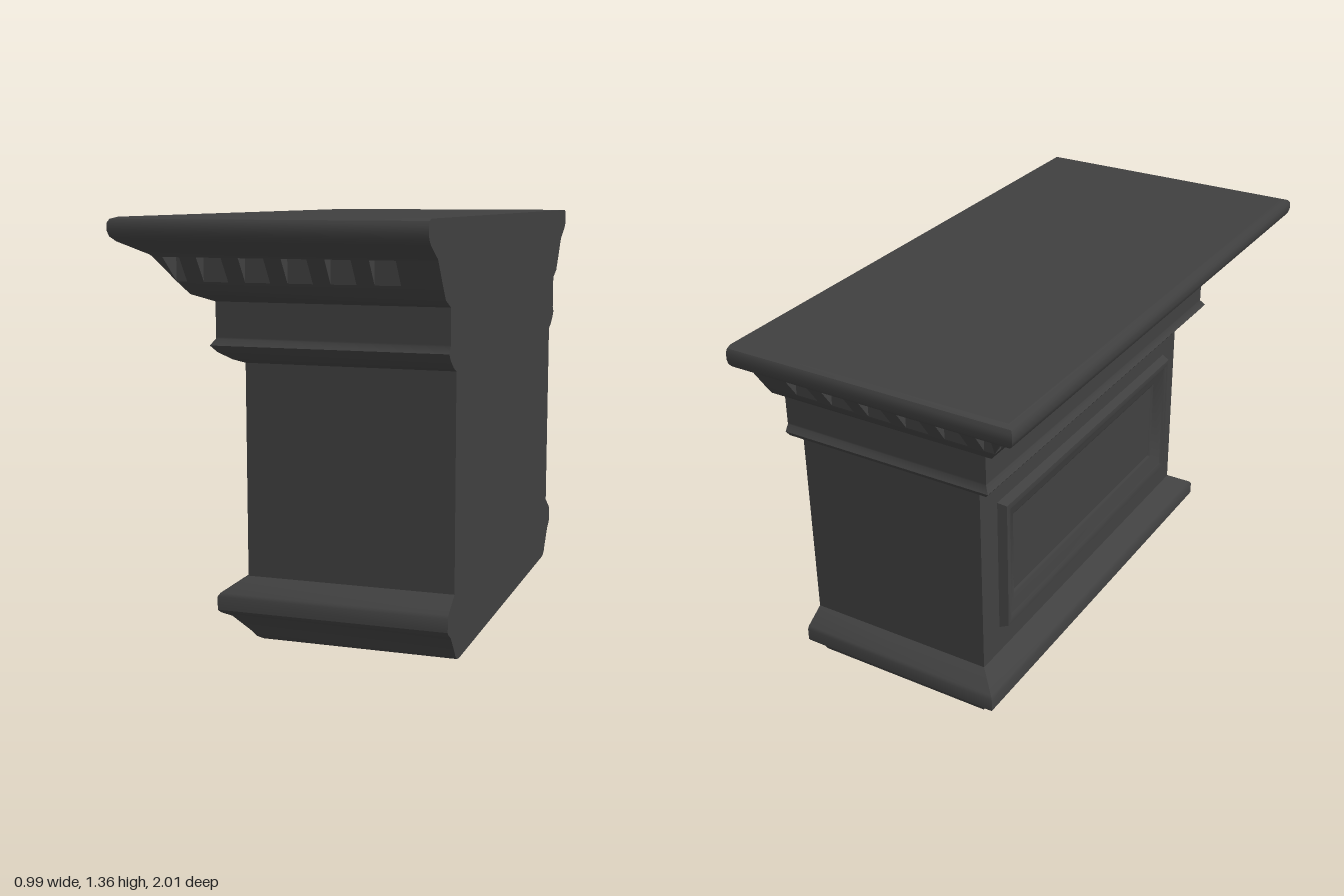
import * as THREE from 'three';
import { toCreasedNormals } from 'three/addons/utils/BufferGeometryUtils.js';

const BACK = 0.49, FACE = -0.19, HALF = 0.7; // cut wall plane, shaft face x, shaft half depth

// Moulding profiles: [outward offset from the shaft, height]
const profiles = {
  base: [[-0.06, 0], [-0.035, 0.005], [-0.018, 0.017], [-0.008, 0.034], [0.04, 0.095], [0.068, 0.113],
    [0.075, 0.122], [0.075, 0.165], [0.068, 0.176], [0, 0.22]],
  shaft: [[0, 0.22], [0, 0.905]],
  neckMoulding: [[0, 0.905], [0.03, 0.918], [0.065, 0.943], [0.083, 0.965], [0.068, 0.985], [0.068, 0.99]],
  frieze: [[0.068, 0.99], [0.068, 1.1]],
  corniceFoot: [[0.068, 1.1], [0.125, 1.125], [0.155, 1.165]],
  corniceTop: [[0.207, 1.24], [0.213, 1.247], [0.285, 1.288], [0.3, 1.303], [0.305, 1.32], [0.305, 1.342],
    [0.298, 1.354], [0.28, 1.36]],
};

// The three moulded sides, walked in one direction around the block
const corner = (o) => FACE - o;
const sides = [
  { at: (u, o, y) => [u, y, HALF + o], start: () => BACK, end: corner },
  { at: (u, o, y) => [FACE - o, y, u], start: (o) => HALF + o, end: (o) => -HALF - o },
  { at: (u, o, y) => [u, y, -HALF - o], start: corner, end: () => BACK },
];

const tri = (out, a, b, c) => out.push(...a, ...b, ...c);
const quad = (out, a, b, c, d) => { tri(out, a, b, c); tri(out, a, c, d); };

export function createModel() {
  const group = new THREE.Group();
  const material = new THREE.MeshStandardMaterial({ color: 0x404040 });
  const add = (name, positions, crease = 0.65) => {
    const geometry = new THREE.BufferGeometry();
    geometry.setAttribute('position', new THREE.Float32BufferAttribute(positions, 3));
    const mesh = new THREE.Mesh(toCreasedNormals(geometry, crease), material);
    mesh.name = name;
    group.add(mesh);
  };

  // Mitred bands around the three sides
  for (const [name, profile] of Object.entries(profiles)) {
    const out = [];
    for (let i = 0; i + 1 < profile.length; i++) {
      const [o0, y0] = profile[i], [o1, y1] = profile[i + 1];
      for (const s of sides) {
        quad(out, s.at(s.start(o0), o0, y0), s.at(s.start(o1), o1, y1),
          s.at(s.end(o1), o1, y1), s.at(s.end(o0), o0, y0));
      }
    }
    add(name, out);
  }

  // Sloping dentil band with wedge-shaped pockets
  const ob = 0.155, yb = 1.165, ot = 0.207, yt = 1.24, inset = 0.02;
  const straight = (u) => [u, u];
  const xPockets = [0.325, 0.19, 0.055, -0.08, -0.215]
    .map((x) => [straight(x + 0.04), straight(x - 0.04)]);
  xPockets.push([straight(-0.31), [corner(ob), corner(ob) - inset]]);
  const zEnd = HALF + ob, zPockets = [];
  for (let i = 0; i < 14; i++) {
    const z = 0.86 - (i * 1.72) / 13;
    zPockets.push([
      i === 0 ? [zEnd, zEnd + inset] : straight(z + 0.04),
      i === 13 ? [-zEnd, -zEnd - inset] : straight(z - 0.04),
    ]);
  }
  const pockets = [xPockets, zPockets, xPockets.map(([a, b]) => [b, a]).reverse()];
  const band = [], recess = [];
  sides.forEach((s, k) => {
    const slope = (a, b) => quad(band, s.at(a[0], ob, yb), s.at(a[1], ot, yt),
      s.at(b[1], ot, yt), s.at(b[0], ob, yb));
    let previous = [s.start(ob), s.start(ot)];
    for (const [a, b] of pockets[k]) {
      slope(previous, a);
      previous = b;
      const [low0, low1] = [a, b].map((e) => s.at(e[0], ob, yb));
      const [rim0, rim1] = [a, b].map((e) => s.at(e[1], ot, yt));
      const [deep0, deep1] = [a, b].map((e) => s.at(e[0], ob, yt));
      quad(recess, low0, deep0, deep1, low1); // upright rear wall
      quad(recess, rim0, rim1, deep1, deep0); // ceiling
      tri(recess, low0, rim0, deep0);
      tri(recess, low1, deep1, rim1);
    }
    slope(previous, [s.end(ob), s.end(ot)]);
  });
  add('dentilBand', band);
  add('dentilPockets', recess);

  // Flat wall side following the whole profile
  const wall = [], outline = Object.values(profiles).flat();
  for (let i = 0; i + 1 < outline.length; i++) {
    const [o0, y0] = outline[i], [o1, y1] = outline[i + 1];
    if (y0 === y1) continue;
    const w0 = HALF + o0, w1 = HALF + o1;
    quad(wall, [BACK, y0, w0], [BACK, y0, -w0], [BACK, y1, -w1], [BACK, y1, w1]);
  }
  add('wallSide', wall);

  // Top slab face and underside
  const plate = (o, y) => [[BACK, y, HALF + o], [corner(o), y, HALF + o],
    [corner(o), y, -HALF - o], [BACK, y, -HALF - o]];
  const top = [], under = [];
  quad(top, ...plate(0.28, 1.36).reverse());
  quad(under, ...plate(-0.06, 0));
  add('topSurface', top);
  add('underside', under);

  // Raised picture-frame moulding on the long face: [inset, height above the shaft]
  const rings = [[0, 0], [0.01, 0.03], [0.028, 0.031], [0.04, 0.024], [0.085, 0.006], [0.095, 0]]
    .map(([i, d]) => {
      const z = 0.6 - i, lo = 0.32 + i, hi = 0.81 - i, x = FACE - d;
      return [[x, lo, -z], [x, lo, z], [x, hi, z], [x, hi, -z]];
    });
  const frame = [];
  for (let r = 0; r + 1 < rings.length; r++) {
    for (let k = 0; k < 4; k++) {
      const n = (k + 1) % 4;
      quad(frame, rings[r][k], rings[r][n], rings[r + 1][n], rings[r + 1][k]);
    }
  }
  add('panelFrame', frame);

  return group;
}
